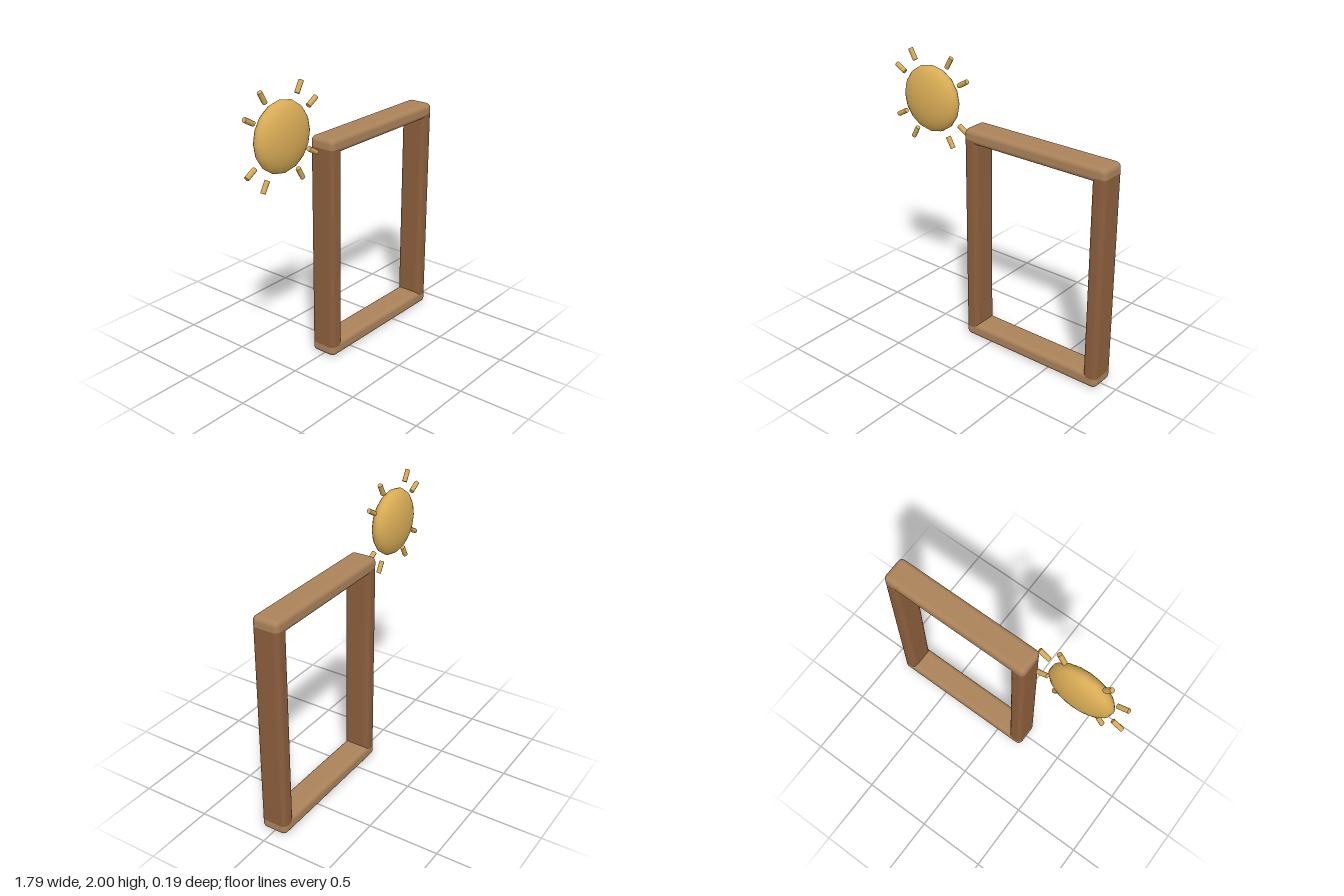
import * as THREE from 'three';
import { RoundedBoxGeometry } from 'three/addons/geometries/RoundedBoxGeometry.js';

const material = (name, color) => {
  const m = new THREE.MeshStandardMaterial({ color });
  m.name = name;
  return m;
};

export function createModel() {
  const lightWood = material('lightWood', 0xaa8259);
  const darkWood = material('darkWood', 0x8b5e3c);
  const gold = material('gold', 0xd9ac55);

  const model = new THREE.Group();
  model.name = 'frameWithSun';

  const add = (parent, name, geometry, mat, x, y) => {
    const mesh = new THREE.Mesh(geometry, mat);
    mesh.name = name;
    mesh.position.set(x, y, 0);
    parent.add(mesh);
    return mesh;
  };

  // Door frame: two rounded beams and two rounded posts of equal depth
  const frame = new THREE.Group();
  frame.name = 'doorFrame';
  frame.position.x = 0.341;
  model.add(frame);
  const width = 1.106, height = 1.578, bar = 0.103, depth = 0.19, radius = 0.035;

  const beam = new RoundedBoxGeometry(width, bar, depth, 4, radius);
  add(frame, 'bottomBeam', beam, lightWood, 0, bar / 2);
  add(frame, 'topBeam', beam, lightWood, 0, height - bar / 2);

  // Post ends sit inside the beams, so only the straight faces show
  const post = new RoundedBoxGeometry(bar, height - 0.08, depth, 4, radius);
  for (const [name, side] of [['leftPost', 1], ['rightPost', -1]]) {
    add(frame, name, post, darkWood, side * (width - bar) / 2, height / 2);
  }

  // Sun: flattened ball with eight separate rays
  const sun = new THREE.Group();
  sun.name = 'sun';
  sun.position.set(-0.571, 1.677, 0);
  model.add(sun);

  const ball = new THREE.SphereGeometry(0.233, 16, 16);
  ball.rotateX(Math.PI / 2);
  ball.scale(1, 1, 0.4);
  add(sun, 'sunDisc', ball, gold, 0, 0);

  const ray = new THREE.CylinderGeometry(0.017, 0.017, 0.085, 8);
  for (const degrees of [30, 60, 120, 150, 210, 240, 300, 330]) {
    const a = THREE.MathUtils.degToRad(degrees);
    const mesh = add(sun, 'sunRay', ray, gold, 0.322 * Math.cos(a), 0.322 * Math.sin(a));
    mesh.rotation.z = a - Math.PI / 2;
  }

  return model;
}
